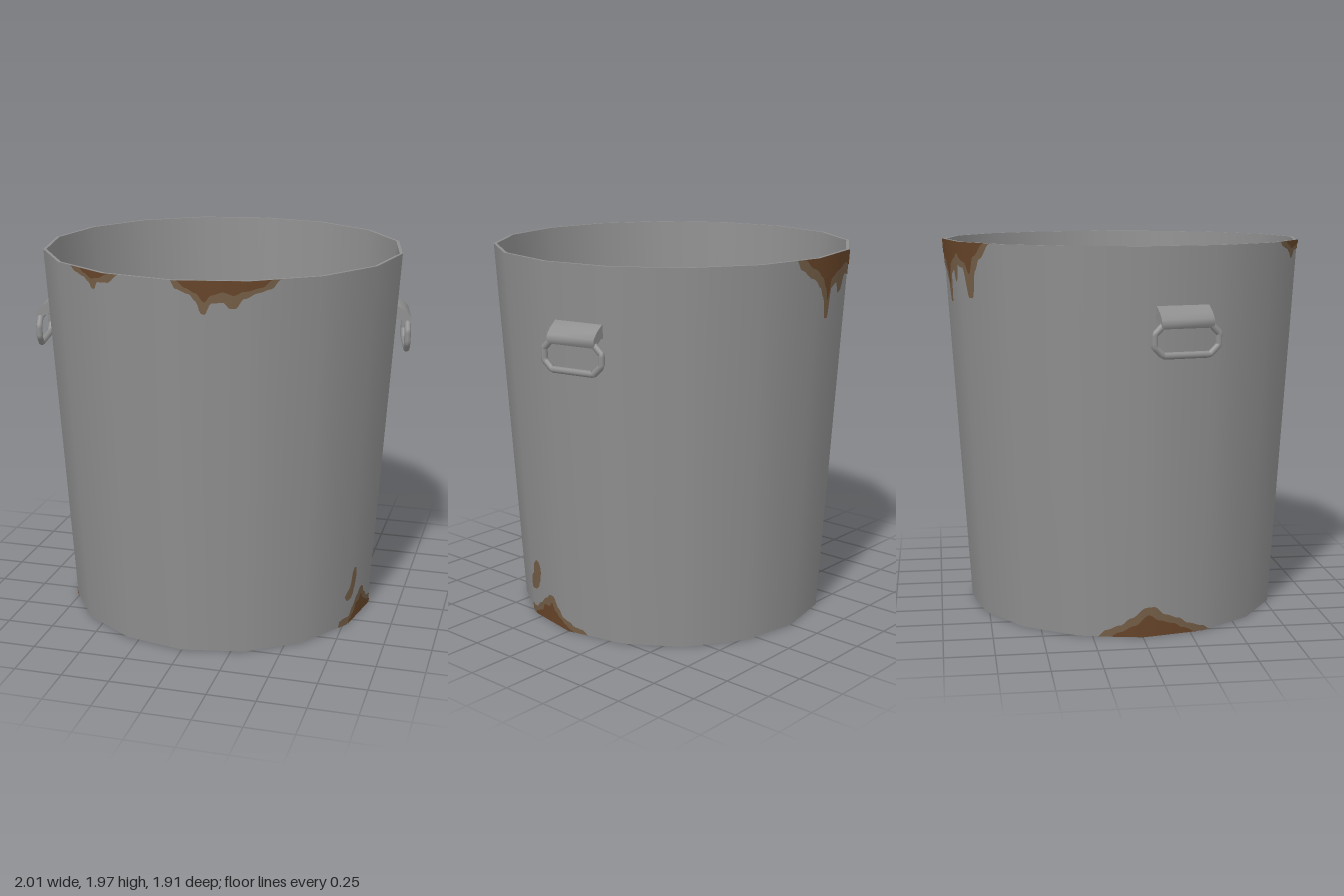
import * as THREE from 'three';
import { toCreasedNormals } from 'three/addons/utils/BufferGeometryUtils.js';

const H = 1.965, R_TOP = 0.95, R_BOTTOM = 0.83, WALL = 0.016;
const SIDES = 16, STEP = 360 / SIDES;
const RAD = Math.PI / 180;

function material(name, color) {
  const m = new THREE.MeshStandardMaterial({ color });
  m.name = name;
  return m;
}

// Band following the faceted bucket wall; angles in degrees from +z towards +x.
function wallBand(from, to, step, low, high, offset = 0, inward = false) {
  const pos = [], nor = [], idx = [];
  const n = Math.round((to - from) / step);
  const sign = inward ? -1 : 1;
  for (let i = 0; i <= n; i++) {
    const a = from + i * step;
    const local = (((a % STEP) + STEP) % STEP) - STEP / 2;
    const facet = Math.cos(STEP / 2 * RAD) / Math.cos(local * RAD);
    const s = Math.sin(a * RAD), c = Math.cos(a * RAD);
    for (const y of [low(a), high(a)]) {
      const r = (R_BOTTOM + (R_TOP - R_BOTTOM) * y / H + offset) * facet;
      pos.push(r * s, y, r * c);
      const v = new THREE.Vector3(s, -0.061, c).normalize().multiplyScalar(sign);
      nor.push(v.x, v.y, v.z);
    }
    if (i < n) {
      const k = i * 2;
      if (inward) idx.push(k, k + 1, k + 2, k + 2, k + 1, k + 3);
      else idx.push(k, k + 2, k + 1, k + 2, k + 3, k + 1);
    }
  }
  const g = new THREE.BufferGeometry();
  g.setAttribute('position', new THREE.Float32BufferAttribute(pos, 3));
  g.setAttribute('normal', new THREE.Float32BufferAttribute(nor, 3));
  g.setIndex(idx);
  return g;
}

// Smoothly eased value through [angle, value, ...] points.
function profile(points, column = 1) {
  return (a) => {
    for (let i = 1; i < points.length; i++) {
      if (a <= points[i][0]) {
        const p = points[i - 1], q = points[i];
        const t = THREE.MathUtils.smoothstep(a, p[0], q[0]);
        return p[column] + (q[column] - p[column]) * t;
      }
    }
    return points[points.length - 1][column];
  };
}

export function createModel() {
  const model = new THREE.Group();
  const metal = material('grey metal', 0x8f8f8f);
  const soot = material('dark soot', 0x262626);
  const rust = material('light rust', 0x755f48);
  const darkRust = material('dark rust', 0x684529);

  const add = (name, geometry, mat, parent = model) => {
    const mesh = new THREE.Mesh(geometry, mat);
    mesh.name = name;
    parent.add(mesh);
    return mesh;
  };
  const flat = (value) => () => value;

  // Bucket shell
  add('outerWall', wallBand(0, 360, STEP, flat(0), flat(H)), metal);
  add('innerWall', wallBand(0, 360, STEP, flat(0.01), flat(H), -WALL, true), metal);
  const rim = add('rim', new THREE.RingGeometry(R_TOP - WALL, R_TOP, SIDES), metal);
  rim.rotation.x = -Math.PI / 2;
  rim.position.y = H;
  const underside = add('underside', new THREE.CircleGeometry(R_BOTTOM, SIDES), metal);
  underside.rotation.x = Math.PI / 2;

  // Blackened floor and the uneven soot line above it
  const floor = add('floor', new THREE.CircleGeometry(R_BOTTOM - WALL, SIDES), soot);
  floor.rotation.x = -Math.PI / 2;
  floor.position.y = 0.02;
  const sootLine = (a) => 0.65 + 0.06 * Math.sin(a * 8 * RAD) + 0.05 * Math.sin(a * 13 * RAD + 1)
    + 0.04 * Math.cos(a * 4 * RAD);
  add('sootBand', wallBand(0, 360, 1.5, flat(0.01), sootLine, -WALL - 0.004, true), soot);

  // Rust running down from the rim: [angle, length]
  const rimRust = (name, points, mat, offset) => {
    const depth = profile(points);
    add(name, wallBand(points[0][0], points[points.length - 1][0], 0.5,
      (a) => H - depth(a), flat(H), offset), mat);
  };
  // Rust creeping up from the base: [angle, height]
  const baseRust = (name, points, mat, offset) =>
    add(name, wallBand(points[0][0], points[points.length - 1][0], 0.5,
      flat(0), profile(points), offset), mat);

  rimRust('frontRust', [[0, 0], [1, 0.04], [5, 0.065], [7, 0.1], [8.5, 0.16], [9.5, 0.165], [11.5, 0.11],
    [15, 0.105], [17, 0.135], [18.5, 0.135], [21, 0.085], [25, 0.06], [29, 0.045], [32, 0]], rust, 0.003);
  rimRust('frontRustCore', [[1.5, 0], [4, 0.035], [7, 0.06], [9.5, 0.105], [11.5, 0.07], [15, 0.055],
    [18, 0.07], [21, 0.05], [26, 0.035], [29.5, 0]], darkRust, 0.006);
  rimRust('frontSideRust', [[-38.5, 0], [-36, 0.025], [-32, 0.04], [-29.5, 0.06], [-28, 0.09], [-27, 0.09],
    [-25, 0.05], [-21, 0.045], [-17, 0]], rust, 0.003);
  rimRust('frontSideRustCore', [[-34, 0], [-31, 0.02], [-28, 0.04], [-25, 0.03], [-20, 0]], darkRust, 0.006);
  rimRust('backRust', [[171, 0], [173, 0.05], [178, 0.1], [182, 0.15], [185, 0.21], [187, 0.32], [189, 0.32],
    [190.5, 0.17], [194, 0.15], [196, 0.21], [197.5, 0.2], [200, 0.12], [204, 0.13], [206.5, 0.28],
    [208.5, 0.28], [210.5, 0.14], [213, 0.08], [219, 0]], rust, 0.003);
  rimRust('backRustCore', [[174, 0], [178, 0.05], [183, 0.1], [186, 0.16], [188, 0.23], [190, 0.12],
    [195, 0.09], [200, 0.06], [205, 0.1], [207.5, 0.16], [210, 0.07], [216, 0]], darkRust, 0.006);

  baseRust('leftBaseRust', [[63, 0], [63.5, 0.035], [66, 0.045], [69, 0.045], [72, 0.08], [76, 0.125],
    [79, 0.155], [81, 0.155], [84, 0.1], [87, 0.06], [90, 0.055], [93, 0.03], [96, 0.025], [98.5, 0]], rust, 0.003);
  baseRust('leftBaseRustCore', [[68.5, 0], [69, 0.02], [73, 0.04], [75, 0.085], [78, 0.085], [80, 0.115],
    [82, 0.075], [85, 0.05], [88, 0.03], [93, 0]], darkRust, 0.006);
  baseRust('rightBaseRust', [[254, 0], [257, 0.035], [262, 0.06], [266, 0.1], [271, 0.155], [274, 0.155],
    [278, 0.11], [283, 0.085], [287, 0.05], [292, 0.03], [296, 0]], rust, 0.003);
  baseRust('rightBaseRustCore', [[258, 0], [262, 0.025], [267, 0.06], [272, 0.115], [276, 0.08],
    [281, 0.06], [285, 0.03], [290, 0]], darkRust, 0.006);

  // Loose rust spot: [angle, bottom, top]
  const spot = [[65.5, 0.165, 0.175], [66.5, 0.145, 0.2], [68.5, 0.145, 0.235], [69.5, 0.147, 0.3],
    [71, 0.16, 0.318], [72.5, 0.2, 0.312], [73.5, 0.255, 0.28]];
  add('rustSpot', wallBand(65.5, 73.5, 0.5, profile(spot, 1), profile(spot, 2), 0.003), rust);

  // Side handles: curled bracket with a hanging ring
  const bracketShape = new THREE.Shape([
    [0.89, 1.68], [0.92, 1.68], [0.965, 1.65], [0.992, 1.62], [0.997, 1.595], [0.985, 1.575],
    [0.965, 1.575], [0.955, 1.595], [0.93, 1.612], [0.89, 1.612],
  ].map(([n, y]) => new THREE.Vector2(n, y)));
  const extruded = new THREE.ExtrudeGeometry(bracketShape, { depth: 0.27, bevelEnabled: false });
  extruded.translate(0, 0, -0.135).rotateY(-Math.PI / 2);
  const bracketGeometry = toCreasedNormals(extruded, 0.8);

  const ringPath = new THREE.CurvePath();
  const corners = [[0.165, 0.03], [0.12, 0.074], [-0.12, 0.074], [-0.165, 0.03],
    [-0.165, -0.03], [-0.12, -0.074], [0.12, -0.074], [0.165, -0.03]]
    .map(([x, y]) => new THREE.Vector3(x, 1.52 + y, 0.974));
  corners.forEach((p, i) => {
    const q = corners[(i + 1) % corners.length];
    ringPath.add(new THREE.LineCurve3(p, q));
  });
  const ringGeometry = new THREE.TubeGeometry(ringPath, 64, 0.017, 8, true);

  for (const [name, angle] of [['leftHandle', 101.25], ['rightHandle', 281.25]]) {
    const handle = new THREE.Group();
    handle.name = name;
    handle.rotation.y = angle * RAD;
    add('handleBracket', bracketGeometry, metal, handle);
    add('handleRing', ringGeometry, metal, handle);
    model.add(handle);
  }
  return model;
}
